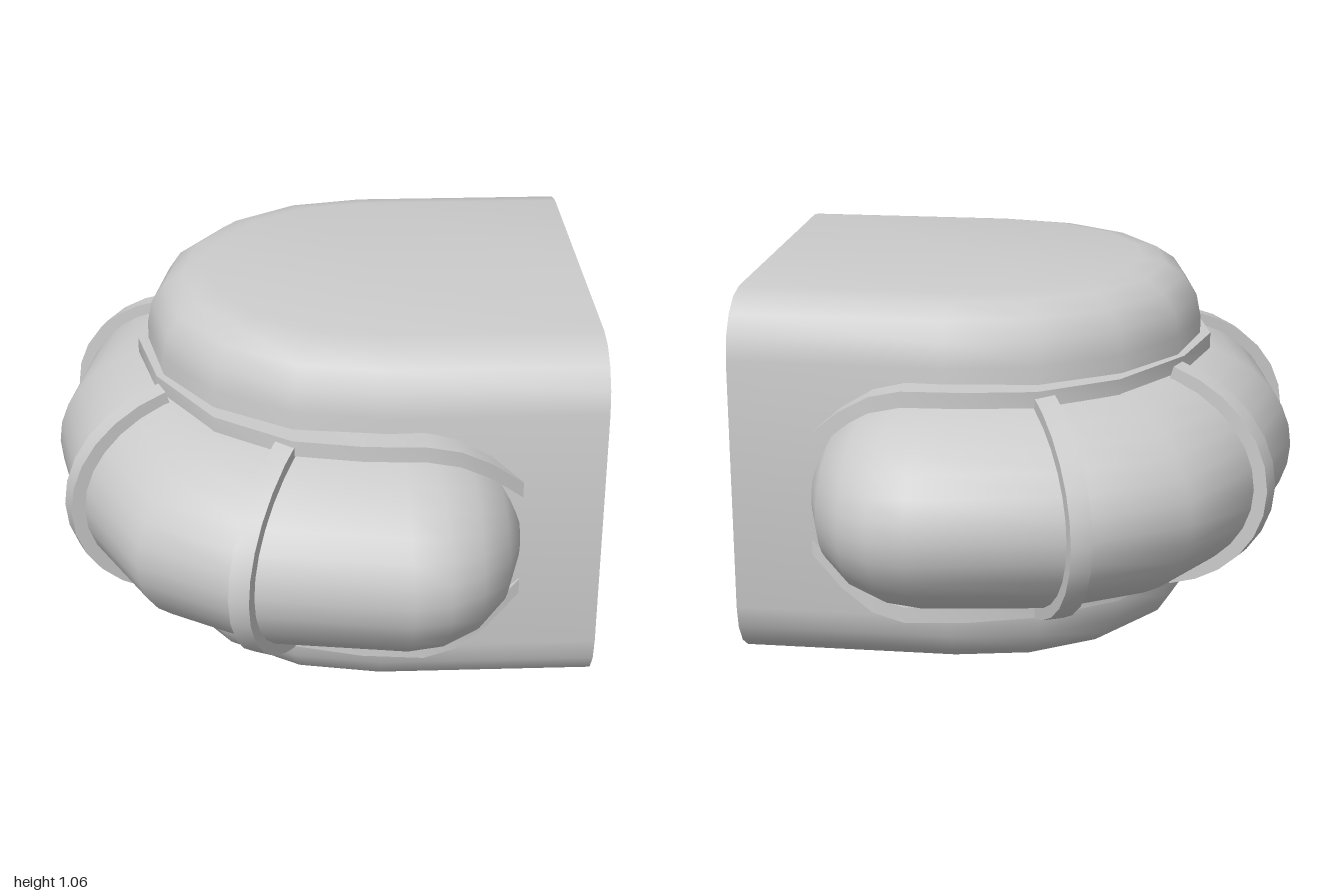
import * as THREE from 'three';
import { toCreasedNormals } from 'three/addons/utils/BufferGeometryUtils.js';

const CX = 0.16;   // centre of the rounded back in plan
const MID = 0.505; // height of the bumper's centre line

// Skin a list of rings (arrays of [x, y, z]); closed rings also get end caps.
function loft(rings, closed, crease) {
  const n = rings[0].length, index = [];
  for (let i = 0; i < rings.length - 1; i++) {
    for (let j = 0; j < (closed ? n : n - 1); j++) {
      const k = (j + 1) % n;
      const a = i * n + j, b = i * n + k, c = (i + 1) * n + k, d = (i + 1) * n + j;
      index.push(a, d, b, b, d, c);
    }
  }
  if (closed) {
    const e = (rings.length - 1) * n;
    for (let j = 1; j < n - 1; j++) index.push(0, j, j + 1, e, e + j + 1, e + j);
  }
  const geo = new THREE.BufferGeometry();
  geo.setAttribute('position', new THREE.Float32BufferAttribute(rings.flat(2), 3));
  geo.setIndex(index);
  return toCreasedNormals(geo, crease);
}

// Extend stations from the back centre round to both arms.
function mirrorStations(list, flip) {
  return [...list.slice(1).reverse().map(flip), ...list];
}

// Open housing: U-shaped plan, rounded top and bottom edges.
function shellGeometry() {
  const R = 0.65, H = 1.06, r = 0.17, profile = [[0, 0]];
  for (let k = 0; k <= 4; k++) {
    const a = (k / 4) * Math.PI / 2;
    profile.push([R - r + r * Math.sin(a), r - r * Math.cos(a)]);
  }
  const full = [...profile, ...profile.slice().reverse().map(([q, y]) => [q, H - y])];
  const rings = [];
  for (let i = -4; i <= 4; i++) {
    const a = i * Math.PI / 8;
    rings.push(full.map(([q, y]) => [CX - q * Math.cos(a), y, q * Math.sin(a)]));
  }
  rings.unshift(full.map(([q, y]) => [0.765, y, -q]));
  rings.push(full.map(([q, y]) => [0.765, y, q]));
  return loft(rings, false, 1.0);
}

// Fat bumper: half-elliptic section with a flat inner side and domed ends.
function bumperGeometry() {
  // outer x, outer z, inner x, inner z, half height
  const stations = [
    [-0.765, 0, -0.39, 0, 0.31],
    [-0.69, 0.39, -0.34, 0.22, 0.31],
    [-0.515, 0.74, -0.21, 0.4, 0.31],
    [-0.24, 0.92, -0.04, 0.5, 0.31],
    [0.22, 1.0, 0.2, 0.53, 0.305],
    [0.32, 0.985, 0.29, 0.53, 0.295],
    [0.41, 0.93, 0.39, 0.53, 0.26],
    [0.49, 0.82, 0.47, 0.53, 0.2],
    [0.535, 0.67, 0.525, 0.53, 0.11],
    [0.545, 0.56, 0.54, 0.53, 0.01],
  ];
  const all = mirrorStations(stations, ([x, z, u, w, h]) => [x, -z, u, -w, h]);
  const rings = all.map(([x, z, u, w, h]) => {
    const ring = [];
    for (let j = -8; j <= 8; j++) {
      const a = j * Math.PI / 16, t = Math.cos(a);
      ring.push([u + (x - u) * t, h * Math.sin(a), w + (z - w) * t]);
    }
    return ring;
  });
  return loft(rings, true, 1.0);
}

// Trim strip along the seam between bumper and housing.
function stripGeometry() {
  const stations = [
    [-0.52, 0, 0.335], [-0.46, 0.26, 0.335], [-0.3, 0.52, 0.335], [-0.09, 0.67, 0.335],
    [0.1, 0.72, 0.34], [0.27, 0.735, 0.342], [0.36, 0.725, 0.32], [0.45, 0.695, 0.265], [0.54, 0.655, 0.185],
  ];
  const all = mirrorStations(stations, ([x, z, y]) => [x, -z, y]);
  const rings = all.map(([x, z, y]) => {
    const u = x > CX ? x : CX + (x - CX) * 0.86, w = z * 0.86;
    return [[x, y - 0.045, z], [x, y, z], [u, y, w], [u, y - 0.045, w]];
  });
  return loft(rings, true, 0.5);
}

// Rib wrapped over the bumper from the inner plan point to the outer one.
function ribGeometry(inX, inZ, outX, outZ) {
  const u = new THREE.Vector2(outX - inX, outZ - inZ), len = u.length();
  u.normalize();
  const half = 0.03, rings = [];
  for (let i = -6; i <= 6; i++) {
    const a = (i / 6) * 1.27;
    const point = (side, grow) => {
      const t = (len + grow) * Math.cos(a);
      return [inX + u.x * t + u.y * side, (0.31 + grow) * Math.sin(a), inZ + u.y * t - u.x * side];
    };
    rings.push([point(half, 0.03), point(-half, 0.03), point(-half, -0.04), point(half, -0.04)]);
  }
  return loft(rings, true, 0.5);
}

export function createModel() {
  const group = new THREE.Group();
  const grey = new THREE.MeshStandardMaterial({ color: 0xcccccc });
  const thin = new THREE.MeshStandardMaterial({ color: 0xcccccc, side: THREE.DoubleSide });
  const add = (name, geo, material, y, turned) => {
    const mesh = new THREE.Mesh(geo, material);
    mesh.name = name;
    mesh.position.y = y;
    if (turned) mesh.rotation.x = Math.PI;
    group.add(mesh);
  };

  add('housingShell', shellGeometry(), thin, 0);
  add('bumper', bumperGeometry(), grey, MID);

  const strip = stripGeometry();
  add('upperTrimStrip', strip, grey, MID, false);
  add('lowerTrimStrip', strip, grey, MID + 0.02, true);

  // Two ribs per side
  const sideRib = ribGeometry(-0.04, 0.5, -0.23, 0.92);
  const backRib = ribGeometry(-0.33, 0.27, -0.69, 0.405);
  for (const turned of [false, true]) {
    const side = turned ? 'right' : 'left';
    add(side + 'SideRib', sideRib, grey, MID, turned);
    add(side + 'BackRib', backRib, grey, MID, turned);
  }
  return group;
}
